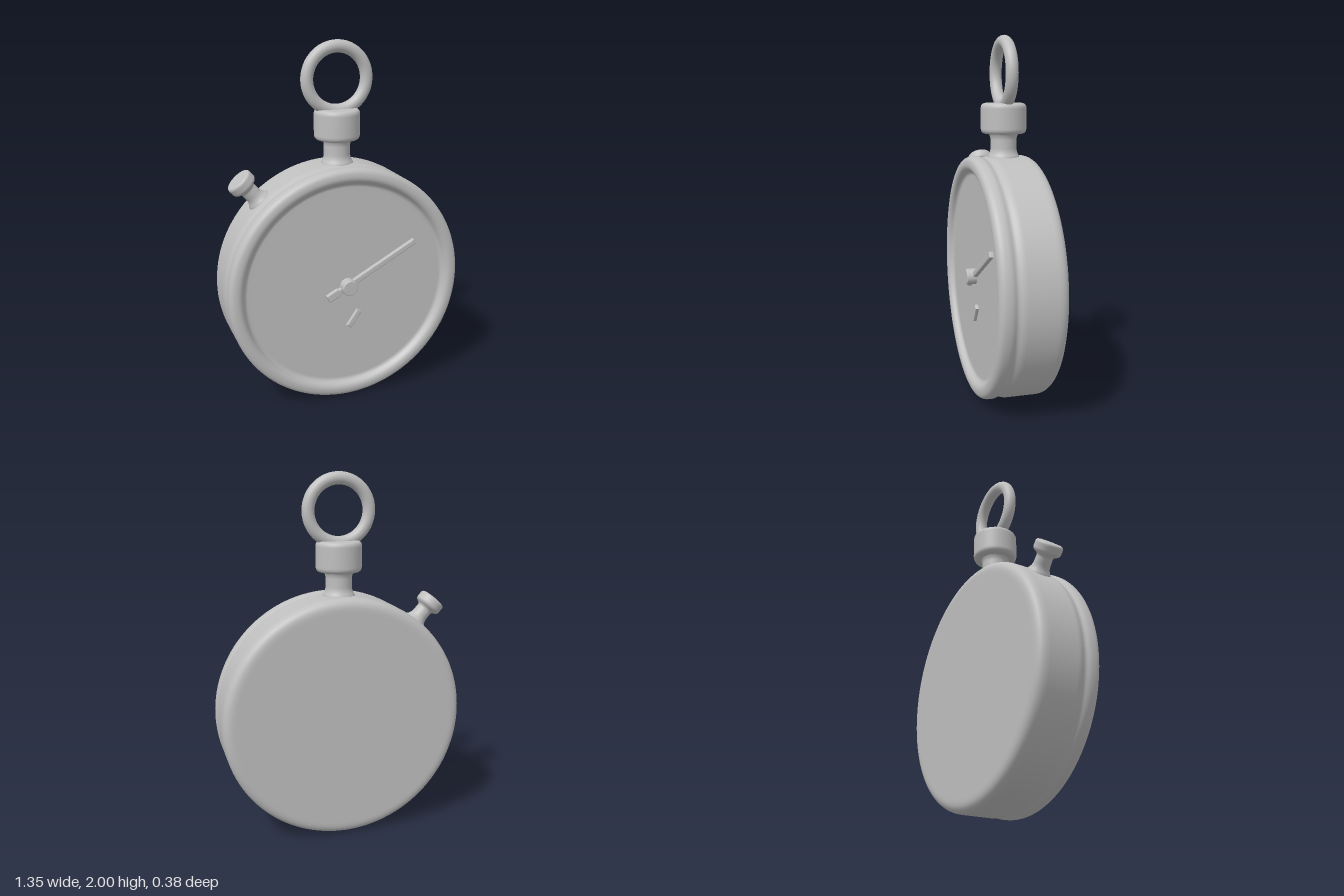
import * as THREE from 'three';

const CENTRE_Y = 0.675; // middle of the dial
const AXIS_Z = -0.028;  // depth of stem, crown, ring and button
const FACE_Z = 0.135;   // dial surface

// Lathe from corners [radius, height, fillet], listed bottom to top
function turned(corners, segments) {
  const pts = [];
  corners.forEach(([r, h, fillet = 0], i) => {
    const p = new THREE.Vector2(r, h);
    if (!fillet) return pts.push(p);
    const toward = (c) => {
      const d = new THREE.Vector2(c[0], c[1]).sub(p);
      return p.clone().addScaledVector(d.normalize(), fillet);
    };
    const bend = new THREE.QuadraticBezierCurve(toward(corners[i - 1]), p, toward(corners[i + 1]));
    pts.push(...bend.getPoints(8));
  });
  return new THREE.LatheGeometry(pts, segments);
}

// Flat hand outline with softened edges
function hand(outline, depth) {
  const shape = new THREE.Shape(outline.map(([x, y]) => new THREE.Vector2(x, y)));
  return new THREE.ExtrudeGeometry(shape, {
    depth, bevelEnabled: true, bevelThickness: 0.006, bevelSize: 0.005, bevelSegments: 2,
  });
}

export function createModel() {
  const group = new THREE.Group();
  const metal = new THREE.MeshStandardMaterial({ color: 0xbfbfbf });
  metal.name = 'grey metal';

  const add = (name, geometry, x, y, z) => {
    const mesh = new THREE.Mesh(geometry, metal);
    mesh.name = name;
    mesh.position.set(x, y, z);
    group.add(mesh);
    return mesh;
  };

  // Case: rounded back, side groove, raised bezel and sunken dial
  add('case', turned([
    [0, -0.19], [0.6, -0.19], [0.675, -0.19, 0.062], [0.675, 0.05, 0.02], [0.661, 0.078, 0.014],
    [0.675, 0.106, 0.014], [0.675, 0.172, 0.045], [0.605, 0.172, 0.024],
    [0.585, FACE_Z, 0.018], [0.55, FACE_Z], [0, FACE_Z],
  ], 128), 0, CENTRE_Y, 0).rotation.x = Math.PI / 2;

  // Stem flaring into case and crown
  add('stem', turned([
    [0.1, 1.3], [0.088, 1.348], [0.072, 1.375, 0.02], [0.072, 1.46, 0.02], [0.09, 1.485],
  ], 48), 0, 0, AXIS_Z);

  // Crown
  add('crown', turned([
    [0, 1.473], [0.125, 1.473, 0.03], [0.125, 1.64, 0.03], [0, 1.64],
  ], 64), 0, 0, AXIS_Z);

  // Hanging ring
  add('ring', new THREE.TorusGeometry(0.168, 0.034, 24, 80), 0, 1.798, AXIS_Z);

  // Side button, pointing away from the dial centre
  const button = add('sideButton', turned([
    [0.08, 0.62], [0.07, 0.668], [0.046, 0.7, 0.02], [0.044, 0.765, 0.012],
    [0.076, 0.782, 0.014], [0.076, 0.837, 0.018], [0, 0.837],
  ], 48), 0, CENTRE_Y, AXIS_Z);
  button.rotation.z = THREE.MathUtils.degToRad(41.8);

  // Main hand with wider tail
  add('mainHand', hand([
    [-0.13, -0.018], [-0.065, -0.018], [-0.055, -0.011], [0.45, -0.011],
    [0.45, 0.011], [-0.055, 0.011], [-0.065, 0.018], [-0.13, 0.018],
  ], 0.016), 0, CENTRE_Y + 0.003, FACE_Z).rotation.z = THREE.MathUtils.degToRad(28.3);

  // Small hand on the lower dial
  add('smallHand', hand([
    [-0.05, -0.011], [0.05, -0.011], [0.05, 0.011], [-0.05, 0.011],
  ], 0.012), 0.038, 0.475, FACE_Z).rotation.z = THREE.MathUtils.degToRad(55);

  // Centre hub
  add('hub', turned([
    [0.044, -0.01], [0.044, 0.055, 0.006], [0, 0.055],
  ], 40), 0, CENTRE_Y + 0.003, FACE_Z).rotation.x = Math.PI / 2;

  return group;
}
